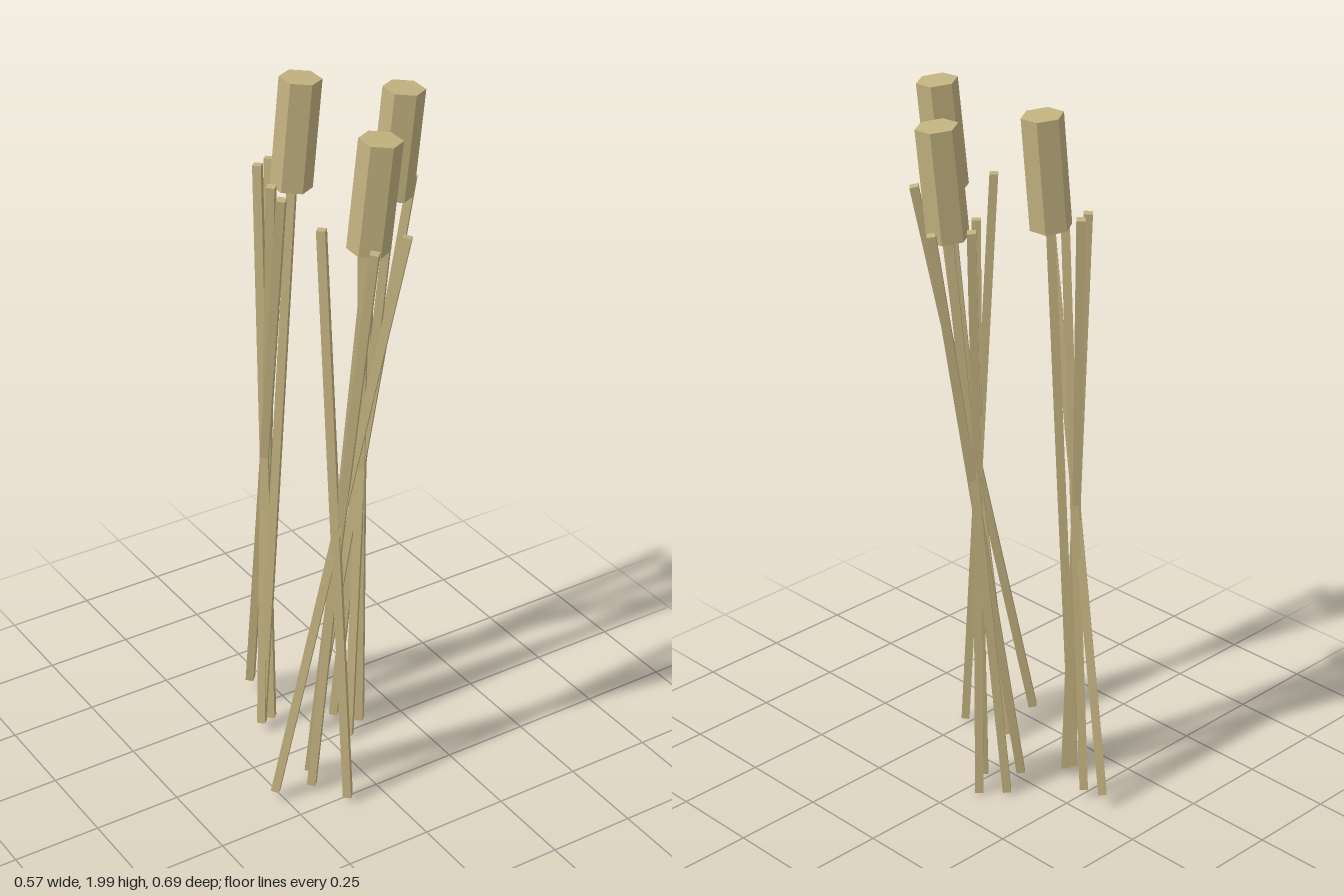
import * as THREE from 'three';

const sand = new THREE.MeshStandardMaterial({ color: 0xc2b280 });
sand.name = 'sand';

// Faceted prism running between two points
function prism(name, radius, sides, from, to) {
  const a = new THREE.Vector3(...from), b = new THREE.Vector3(...to);
  const dir = b.clone().sub(a);
  const geo = new THREE.CylinderGeometry(radius, radius, dir.length(), sides).toNonIndexed();
  geo.computeVertexNormals();
  const mesh = new THREE.Mesh(geo, sand);
  mesh.name = name;
  mesh.position.copy(a).add(b).multiplyScalar(0.5);
  mesh.quaternion.setFromUnitVectors(new THREE.Vector3(0, 1, 0), dir.normalize());
  return mesh;
}

// Each clump: loose stalks [bottom, top], one stalk carrying the head, and the head
const clumps = [
  {
    name: 'backClump',
    stalks: [
      [[-0.137, 0.035, -0.14], [-0.019, 1.735, -0.257]],
      [[-0.062, 0.045, -0.328], [-0.104, 1.715, -0.058]],
      [[-0.1, 0.035, -0.148], [-0.066, 1.735, -0.237]],
      [[-0.056, 0.035, -0.262], [-0.09, 1.72, -0.131]],
      [[-0.13, 0.03, -0.15], [-0.008, 1.72, -0.159]],
    ],
    head: [[-0.011, 1.69, -0.16], [0.013, 1.99, -0.15]],
  },
  {
    name: 'sideClump',
    stalks: [
      [[0.058, 0.012, 0.019], [0.202, 1.715, -0.091]],
      [[-0.01, 0.02, -0.059], [0.272, 1.705, -0.018]],
      [[0.13, 0.005, -0.035], [0.13, 1.715, -0.034]],
      [[0.078, 0.01, -0.093], [0.2, 1.71, 0]],
    ],
    head: [[0.199, 1.675, -0.003], [0.222, 1.972, 0.011]],
  },
  {
    name: 'frontClump',
    stalks: [
      [[-0.27, 0.035, 0.152], [0.058, 1.705, 0.276]],
      [[-0.13, 0.022, 0.106], [-0.073, 1.715, 0.326]],
      [[-0.104, 0.018, 0.264], [-0.122, 1.725, 0.16]],
      [[-0.16, 0.022, 0.166], [-0.037, 1.715, 0.25]],
    ],
    head: [[-0.04, 1.685, 0.248], [-0.015, 1.98, 0.261]],
  },
];

export function createModel() {
  const model = new THREE.Group();
  model.name = 'reeds';
  for (const { name, stalks, head } of clumps) {
    const clump = new THREE.Group();
    clump.name = name;
    for (const [bottom, top] of stalks) clump.add(prism('stalk', 0.0165, 4, bottom, top));
    clump.add(prism('seedHead', 0.056, 6, ...head));
    model.add(clump);
  }
  return model;
}
